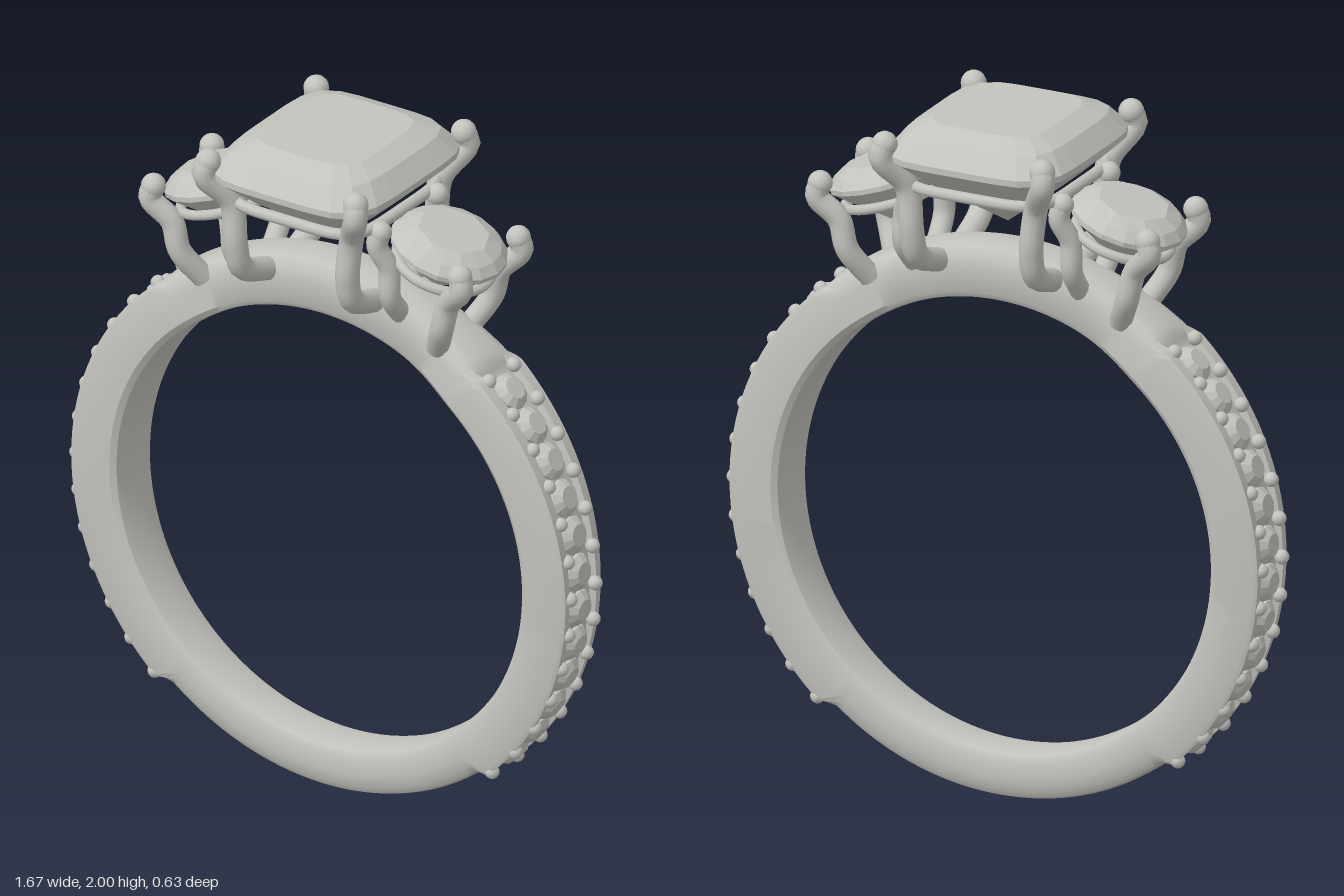
import * as THREE from 'three';
import { toCreasedNormals } from 'three/addons/utils/BufferGeometryUtils.js';

const CY = 0.8; // height of the band's centre
const V = (x, y, z) => new THREE.Vector3(x, y, z);
const smooth = THREE.MathUtils.smoothstep;
const lerp = THREE.MathUtils.lerp;
const rad = THREE.MathUtils.degToRad;

// Skin a list of equal-length loops; optionally join last loop to first
function loft(loops, closed, crease) {
  const n = loops[0].length, m = loops.length, idx = [];
  for (let j = 0; j < (closed ? m : m - 1); j++) {
    for (let i = 0; i < n; i++) {
      const k = (i + 1) % n, q = ((j + 1) % m) * n, p = j * n;
      idx.push(p + i, p + k, q + i, p + k, q + k, q + i);
    }
  }
  const g = new THREE.BufferGeometry().setFromPoints(loops.flat());
  g.setIndex(idx);
  return toCreasedNormals(g, crease);
}

// Cut stone: rings of [scale, y, factor for every second corner], top to bottom
function gem(outline, rings) {
  const loops = rings.map(([s, y, alt = 1]) =>
    outline.map(([x, z], i) => {
      const f = s * (i % 2 ? alt : 1);
      return V(x * f, y, z * f);
    }));
  return loft(loops, false, 0.02);
}

// Superellipse outline; power 2 is round, higher is a cushion
function outline(n, a, b, power) {
  return Array.from({ length: n }, (_, i) => {
    const t = (i / n) * Math.PI * 2, c = Math.cos(t), s = Math.sin(t);
    const r = Math.pow(Math.abs(c) ** power + Math.abs(s) ** power, -1 / power);
    return [a * r * c, b * r * s];
  });
}

// Band cross-section at an angle: flat and channelled when set with stones, rounded elsewhere
function bandSection(t) {
  const s = Math.sin(t), e = Math.asin(s) * 180 / Math.PI, y = CY + 0.81 * s;
  const pave = smooth(e, -51, -47.5) * (1 - smooth(e, 48, 52));
  const hw = lerp(0.075 + 0.024 * y, 0.085, smooth(y, 1.4, 1.56));
  const up = e > 0 ? 0.02 : 0;
  const inner = [[0, 0.66], [0.6, 0.662], [0.88, 0.668], [1, 0.684]].map(([z, r]) => [z * hw, r]);
  const plain = [[1, 0.735], [0.95, 0.768], [0.78, 0.788], [0.55, 0.795], [0, 0.798]].map(([z, r]) => [z * hw, r + up]);
  const set = [[hw, 0.802], [hw * 0.93, 0.814], [0.066, 0.814], [0.06, 0.795], [0, 0.795]];
  const outer = plain.map(([z, r], i) => [lerp(z, set[i][0], pave), lerp(r, set[i][1], pave)]);
  const half = [...inner, ...outer];
  const other = half.slice(1, -1).reverse().map(([z, r]) => [-z, r]);
  return [...half, ...other].map(([z, r]) => V(Math.cos(t) * r, CY + s * r, z));
}

export function createModel() {
  const model = new THREE.Group();
  model.name = 'threeStoneRing';
  const metal = new THREE.MeshStandardMaterial({ color: 0xc3c3be });
  metal.name = 'pale grey';

  const add = (parent, name, geo) => {
    const m = new THREE.Mesh(geo, metal);
    m.name = name;
    parent.add(m);
    return m;
  };
  const group = (name, parent = model) => {
    const g = new THREE.Group();
    g.name = name;
    parent.add(g);
    return g;
  };
  // Bent wire claw with a rounded tip
  const claw = (parent, name, pts, r) => {
    const path = new THREE.CatmullRomCurve3(pts, false, 'centripetal');
    add(parent, name, new THREE.TubeGeometry(path, 28, r, 12));
    add(parent, name + 'Tip', new THREE.SphereGeometry(r * 1.06, 14, 10)).position.copy(pts[0]);
  };

  // Band
  const loops = Array.from({ length: 240 }, (_, j) => bandSection((j / 240) * Math.PI * 2));
  add(model, 'band', loft(loops, true, 0.6));

  // Small stones and beads along both shoulders
  const smallStone = gem(outline(12, 0.054, 0.054, 2), [[0, 0.022], [0.6, 0.022], [1, 0.004], [1, -0.004], [0, -0.035]]);
  const bead = new THREE.SphereGeometry(0.021, 12, 8);
  const STEP = 7.9;
  for (const side of [1, -1]) {
    const row = group(side > 0 ? 'leftShoulderStones' : 'rightShoulderStones');
    for (let i = 0; i < 12; i++) {
      const a = rad((i - 5.5) * STEP + 0.5);
      const m = add(row, 'smallStone', smallStone);
      m.position.set(side * Math.cos(a) * 0.8, CY + Math.sin(a) * 0.8, 0);
      m.rotation.z = side * (a - Math.PI / 2);
    }
    for (let i = 0; i < 13; i++) {
      const a = rad((i - 6) * STEP + 0.5);
      for (const z of [0.062, -0.062]) {
        add(row, 'bead', bead).position.set(side * Math.cos(a) * 0.813, CY + Math.sin(a) * 0.813, z);
      }
    }
  }

  // Centre stone with its rail and four claws
  const centre = group('centreSetting');
  add(centre, 'centreStone', gem(outline(32, 0.272, 0.302, 5), [
    [0, 2], [0.62, 2], [0.84, 1.972], [1, 1.918], [1, 1.9], [0.68, 1.82], [0, 1.675],
  ]));
  const railPath = new THREE.CatmullRomCurve3(outline(40, 0.222, 0.24, 5).map(([x, z]) => V(x, 1.82, z)), true);
  add(centre, 'centreRail', new THREE.TubeGeometry(railPath, 80, 0.017, 8, true));
  for (const sx of [1, -1]) {
    for (const sz of [1, -1]) {
      claw(centre, 'centreClaw', [
        [0.243, 1.948, 0.268], [0.25, 1.91, 0.28], [0.2, 1.82, 0.222],
        [0.184, 1.69, 0.22], [0.182, 1.61, 0.195], [0.175, 1.55, 0.06],
      ].map(([x, y, z]) => V(sx * x, y, sz * z)), 0.034);
    }
  }

  // Tilted round side stones, each with a rail and four claws
  const roundStone = gem(outline(16, 0.166, 0.166, 2), [
    [0, 0.052], [0.62, 0.052, 0.924], [0.86, 0.03], [1, 0.006], [1, -0.008], [0, -0.14],
  ]);
  const outerClaw = [[0.505, 1.748, 0.145], [0.512, 1.71, 0.15], [0.456, 1.645, 0.128], [0.432, 1.56, 0.125], [0.385, 1.47, 0.075]];
  const innerClaw = [[0.24, 1.81, 0.14], [0.232, 1.77, 0.146], [0.256, 1.7, 0.125], [0.26, 1.61, 0.122], [0.255, 1.53, 0.06]];
  for (const side of [1, -1]) {
    const setting = group(side > 0 ? 'leftSetting' : 'rightSetting');
    const head = group('sideHead', setting);
    head.position.set(side * 0.373, 1.748, 0);
    head.rotation.z = -side * rad(17);
    add(head, 'sideStone', roundStone);
    const rail = add(head, 'sideRail', new THREE.TorusGeometry(0.135, 0.015, 8, 40));
    rail.rotation.x = Math.PI / 2;
    rail.position.y = -0.058;
    for (const sz of [1, -1]) {
      claw(setting, 'outerClaw', outerClaw.map(([x, y, z]) => V(side * x, y, sz * z)), 0.033);
      claw(setting, 'innerClaw', innerClaw.map(([x, y, z]) => V(side * x, y, sz * z)), 0.03);
    }
  }
  return model;
}
